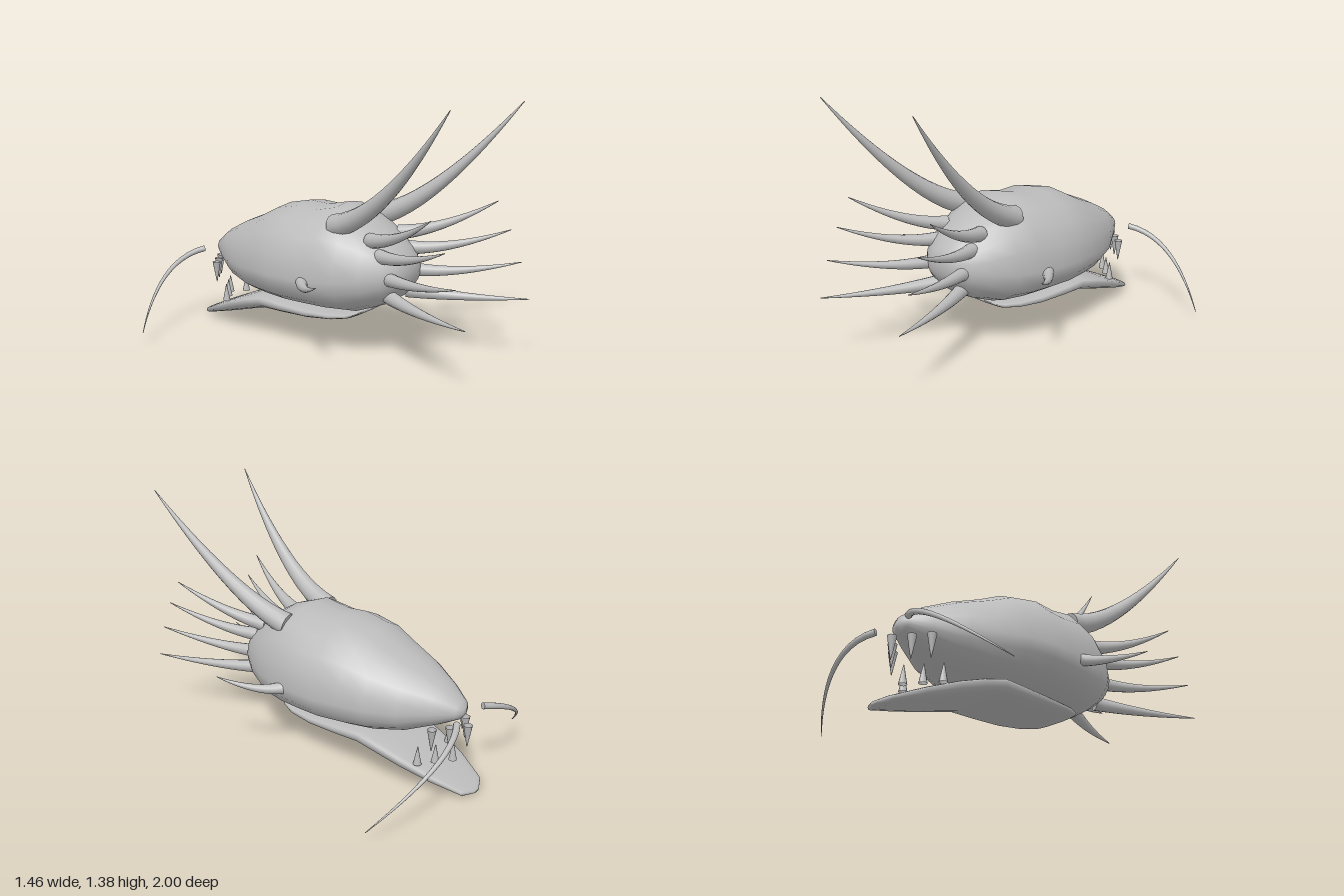
import * as THREE from 'three';

const V = (x, y, z) => new THREE.Vector3(x, y, z);

// Closed skin over equal-sized rings, fan-capped at both ends
function loft(rings) {
  const n = rings[0].length, pos = [], idx = [];
  rings.forEach(r => r.forEach(p => pos.push(p.x, p.y, p.z)));
  for (let i = 0; i < rings.length - 1; i++) {
    for (let j = 0; j < n; j++) {
      const k = (j + 1) % n, a = i * n + j, b = i * n + k;
      idx.push(a, b, b + n, a, b + n, a + n);
    }
  }
  [0, rings.length - 1].forEach((ri, end) => {
    const c = V(0, 0, 0);
    rings[ri].forEach(p => c.addScaledVector(p, 1 / n));
    const ci = pos.length / 3;
    pos.push(c.x, c.y, c.z);
    for (let j = 0; j < n; j++) {
      const a = ri * n + j, b = ri * n + (j + 1) % n;
      if (end) idx.push(ci, a, b); else idx.push(ci, b, a);
    }
  });
  const g = new THREE.BufferGeometry();
  g.setAttribute('position', new THREE.Float32BufferAttribute(pos, 3));
  g.setIndex(idx);
  g.computeVertexNormals();
  return g;
}

// Egg-shaped section: z, half width, top, bottom, height of widest point
function section([z, w, top, bot, mid], n, power) {
  const pw = v => Math.sign(v) * Math.pow(Math.abs(v), power);
  return Array.from({ length: n }, (_, j) => {
    const a = j / n * Math.PI * 2, s = pw(Math.sin(a));
    return V(w * pw(Math.cos(a)), mid + s * (s > 0 ? top - mid : mid - bot), z);
  });
}

// Tapered curved spike along a quadratic path with a flat base
function spike(p0, p1, p2, r0, r1, sides = 12, steps = 14) {
  const curve = new THREE.QuadraticBezierCurve3(V(...p0), V(...p1), V(...p2));
  const { normals, binormals } = curve.computeFrenetFrames(steps, false);
  const rings = [];
  for (let i = 0; i <= steps; i++) {
    const t = i / steps, c = curve.getPointAt(t), r = r0 + (r1 - r0) * t;
    rings.push(Array.from({ length: sides }, (_, j) => {
      const a = j / sides * Math.PI * 2;
      return c.clone().addScaledVector(normals[i], r * Math.cos(a))
        .addScaledVector(binormals[i], r * Math.sin(a));
    }));
  }
  // Doubled first ring keeps the base edge sharp
  return loft([rings[0], ...rings]);
}

export function createModel() {
  const model = new THREE.Group();
  model.name = 'hornedHead';
  const grey = new THREE.MeshStandardMaterial({ color: 0xbbbbbb, side: THREE.DoubleSide });
  grey.name = 'grey';
  const add = (name, geometry) => {
    const m = new THREE.Mesh(geometry, grey);
    m.name = name;
    model.add(m);
    return m;
  };

  // Skull, snout to nape
  const skull = [
    [-0.905, 0.02, 0.465, 0.425, 0.445],
    [-0.885, 0.065, 0.495, 0.40, 0.445],
    [-0.79, 0.135, 0.565, 0.35, 0.44],
    [-0.64, 0.235, 0.64, 0.285, 0.43],
    [-0.48, 0.305, 0.705, 0.25, 0.43],
    [-0.35, 0.345, 0.77, 0.24, 0.44],
    [-0.20, 0.373, 0.80, 0.236, 0.44],
    [-0.07, 0.367, 0.792, 0.235, 0.44],
    [0.07, 0.352, 0.822, 0.235, 0.44],
    [0.20, 0.32, 0.775, 0.24, 0.45],
    [0.32, 0.26, 0.70, 0.285, 0.46],
    [0.41, 0.19, 0.63, 0.34, 0.47],
    [0.46, 0.125, 0.575, 0.40, 0.48],
    [0.48, 0.07, 0.53, 0.44, 0.485],
  ];
  add('skull', loft(skull.map(s => section(s, 20, 0.95))));

  // Lower jaw, tip to hinge
  const jaw = [
    [-1.0, 0.025, 0.03, 0.012, 0.022],
    [-0.965, 0.10, 0.05, 0.006, 0.035],
    [-0.82, 0.165, 0.115, 0.045, 0.095],
    [-0.66, 0.21, 0.18, 0.088, 0.155],
    [-0.53, 0.228, 0.225, 0.125, 0.195],
    [-0.40, 0.236, 0.262, 0.16, 0.225],
    [-0.25, 0.236, 0.25, 0.163, 0.22],
    [-0.07, 0.23, 0.238, 0.17, 0.215],
    [0.08, 0.205, 0.238, 0.185, 0.218],
    [0.16, 0.165, 0.238, 0.2, 0.222],
    [0.2, 0.11, 0.238, 0.222, 0.23],
  ];
  add('lowerJaw', loft(jaw.map(s => section(s, 20, 0.8))));

  // Paired horns and whiskers: base, bend, tip, base radius, tip radius
  const spikes = {
    crownHorn: [[0.18, 0.72, 0.11], [0.22, 0.80, 0.45], [0.363, 1.38, 0.91], 0.063, 0.002],
    upperNapeHorn: [[0.135, 0.66, 0.31], [0.21, 0.685, 0.53], [0.33, 0.858, 0.80], 0.042, 0.002],
    middleNapeHorn: [[0.135, 0.585, 0.37], [0.21, 0.585, 0.59], [0.33, 0.715, 0.88], 0.039, 0.002],
    lowerNapeHorn: [[0.13, 0.47, 0.42], [0.2, 0.465, 0.65], [0.335, 0.55, 0.945], 0.037, 0.002],
    bottomNapeHorn: [[0.085, 0.36, 0.40], [0.2, 0.335, 0.65], [0.33, 0.36, 1.0], 0.04, 0.002],
    cheekHorn: [[0.34, 0.43, 0.015], [0.45, 0.415, 0.11], [0.558, 0.495, 0.29], 0.033, 0.002],
    whisker: [[0.13, 0.435, -0.935], [0.374, 0.39, -1.075], [0.727, 0.078, -0.82], 0.018, 0.002],
  };
  for (const [name, [a, b, c, r0, r1]] of Object.entries(spikes)) {
    for (const side of [1, -1]) {
      const m = ([x, y, z]) => [x * side, y, z];
      add(`${name}${side > 0 ? 'Left' : 'Right'}`, spike(m(a), m(b), m(c), r0, r1));
    }
  }

  // Teeth: open cones in a V along each jaw
  const tooth = (name, x, y, z, h, r, down) => {
    const t = add(name, new THREE.CylinderGeometry(0.002, r, h, 10, 1, true));
    if (down) t.rotation.x = Math.PI;
    t.position.set(x, y, z);
  };
  for (let i = -2; i <= 2; i++) {
    const back = Math.abs(i) * 0.059;
    tooth('upperTooth', i * 0.077, 0.314, -0.928 + back, 0.122, 0.024, true);
    tooth('lowerTooth', i * 0.077, 0.2, -0.85 + back, 0.1, 0.022, false);
  }

  return model;
}
